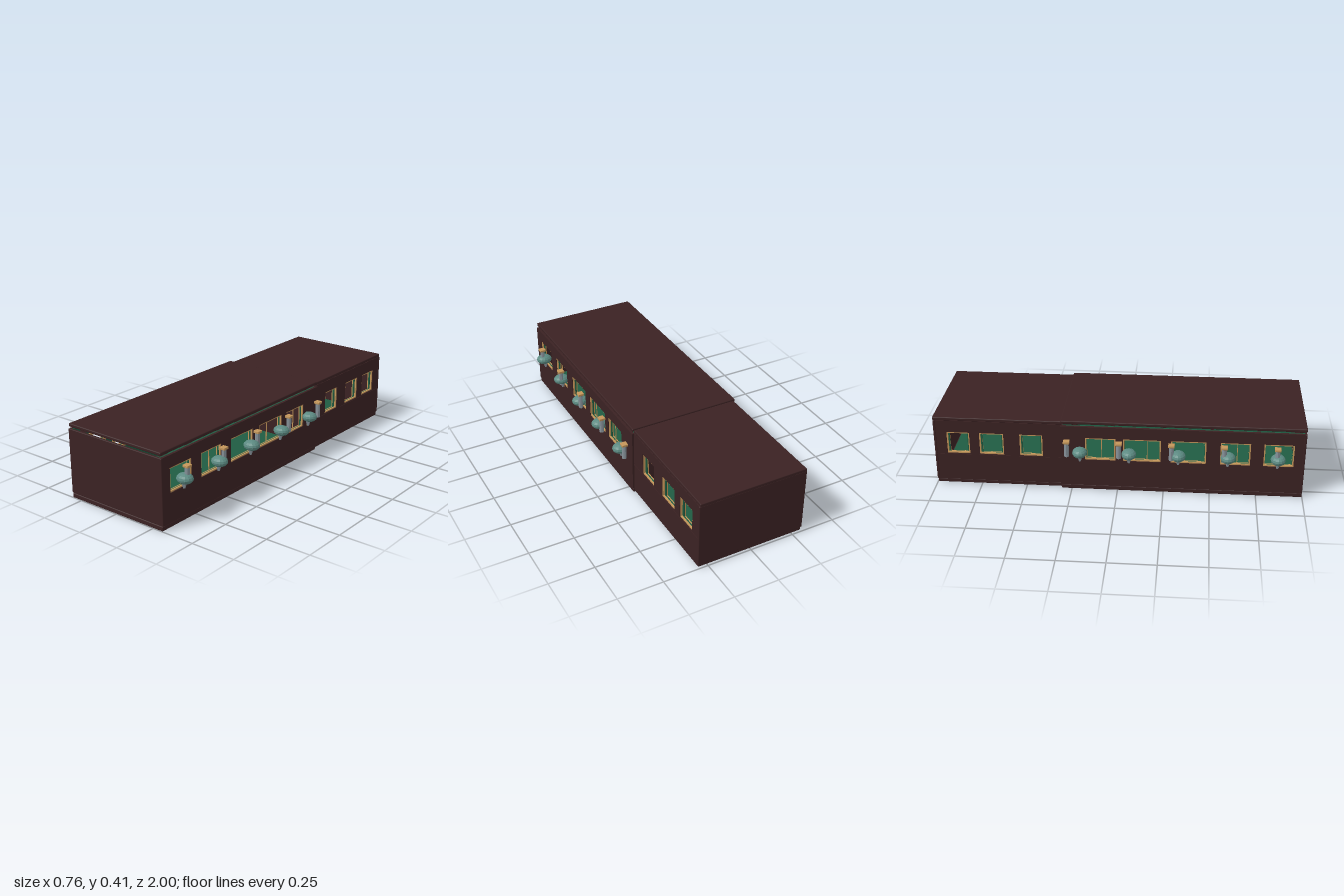
import * as THREE from 'three';
import { RoundedBoxGeometry } from 'three/addons/geometries/RoundedBoxGeometry.js';

const paint = (name, color, extra = {}) => {
  const m = new THREE.MeshStandardMaterial({ color, ...extra });
  m.name = name;
  return m;
};

export function createModel() {
  const model = new THREE.Group();
  model.name = 'longHall';
  const mahogany = paint('dark mahogany', 0x3b2223);
  const green = paint('deep green', 0x1f5c42);
  const gold = paint('brass', 0xc4965a);
  const teal = paint('verdigris', 0x5c8a82, { flatShading: true });
  const grey = paint('steel grey', 0x87929a, { flatShading: true });

  const add = (parent, name, geo, mat, x = 0, y = 0, z = 0) => {
    const m = new THREE.Mesh(geo, mat);
    m.name = name;
    m.position.set(x, y, z);
    parent.add(m);
    return m;
  };
  // box from its limits on each axis
  const block = (parent, name, mat, x0, x1, y0, y1, z0, z1, r = 0) => {
    const s = [x1 - x0, y1 - y0, z1 - z0];
    const geo = r ? new RoundedBoxGeometry(...s, 2, r) : new THREE.BoxGeometry(...s);
    return add(parent, name, geo, mat, (x0 + x1) / 2, (y0 + y1) / 2, (z0 + z1) / 2);
  };

  const rect = (Type, a, b, y0, y1) => {
    const s = new Type();
    s.moveTo(a, y0);
    s.lineTo(b, y0);
    s.lineTo(b, y1);
    s.lineTo(a, y1);
    s.closePath();
    return s;
  };
  // upright panel along z with rectangular openings, x from x0 to x0 + t
  const panel = (parent, name, mat, x0, t, z0, z1, y0, y1, holes) => {
    const shape = rect(THREE.Shape, -z1, -z0, y0, y1);
    for (const [a, b, c, d] of holes) shape.holes.push(rect(THREE.Path, -b, -a, c, d));
    const geo = new THREE.ExtrudeGeometry(shape, { depth: t, bevelEnabled: false });
    geo.rotateY(Math.PI / 2);
    return add(parent, name, geo, mat, x0);
  };

  // both long walls of a section, with lining and window frames
  const sides = (parent, half, z0, z1, y0, y1, windows, wy0, wy1, inset) => {
    const t = 0.014;
    for (const s of [1, -1]) {
      const at = (outer, depth) => (s > 0 ? outer - depth : -outer);
      panel(parent, 'sideWall', mahogany, at(half, t), t, z0, z1, y0, y1,
        windows.map(([a, b]) => [a, b, wy0, wy1]));
      panel(parent, 'innerLining', green, at(half - t, 0.008), 0.008, z0, z1, y0, y1,
        windows.map(([a, b]) => [a + inset, b - inset, wy0 + 0.004, wy1 - 0.004]));
      for (const [a, b] of windows) {
        const f = 0.007;
        panel(parent, 'windowFrame', gold, at(half - 0.004, 0.009), 0.009, a, b, wy0, wy1,
          [[a + f, b - f, wy0 + f, wy1 - f]]);
        panel(parent, 'innerFrame', gold, at(half - t - 0.008, 0.006), 0.006,
          a - 0.01, b + 0.01, wy0 - 0.008, wy1 + 0.008,
          [[a + inset, b - inset, wy0 + 0.004, wy1 - 0.004]]);
      }
    }
  };

  // main hall
  const hall = new THREE.Group();
  hall.name = 'mainHall';
  model.add(hall);
  block(hall, 'floorSlab', mahogany, -0.312, 0.312, 0, 0.026, -0.305, 0.999, 0.005);
  block(hall, 'floorCovering', green, -0.3, 0.3, 0.026, 0.03, -0.29, 0.98);
  block(hall, 'roofSlab', mahogany, -0.312, 0.312, 0.395, 0.413, -0.305, 1, 0.005);
  block(hall, 'frontWall', mahogany, -0.316, 0.316, 0.027, 0.383, 0.984, 0.999, 0.004);
  block(hall, 'dividingWall', mahogany, -0.312, 0.312, 0.027, 0.383, -0.305, -0.293);
  const hallWindows = [[0.78, 0.94], [0.55, 0.71], [0.287, 0.475], [0.03, 0.233], [-0.174, -0.01]];
  sides(hall, 0.315, -0.305, 0.99, 0.027, 0.383, hallWindows, 0.185, 0.317, 0.009);

  // thin glazing bars in the wider windows
  for (const s of [1, -1])
    for (const z of [0.64, 0.16, -0.085])
      block(hall, 'glazingBar', gold, s * 0.305 - 0.002, s * 0.305 + 0.002, 0.19, 0.312, z - 0.002, z + 0.002);

  // arched roof ribs bridging the open slot under the roof
  const rib = new THREE.Shape();
  rib.moveTo(-0.295, 0.35);
  rib.quadraticCurveTo(0, 0.41, 0.295, 0.35);
  rib.lineTo(0.295, 0.373);
  rib.quadraticCurveTo(0, 0.418, -0.295, 0.373);
  const ribGeo = new THREE.ExtrudeGeometry(rib, { depth: 0.02, bevelEnabled: false, curveSegments: 12 });
  for (const z of [0.93, 0.75, 0.5, 0.25, -0.03, -0.23]) {
    add(hall, 'roofRib', ribGeo, mahogany, 0, 0, z - 0.01);
    for (const s of [1, -1]) {
      block(hall, 'ceilingPlate', teal, s * 0.193 - 0.062, s * 0.193 + 0.062, 0.389, 0.393, z - 0.02, z + 0.02);
      block(hall, 'ceilingStud', gold, s * 0.222 - 0.006, s * 0.222 + 0.006, 0.383, 0.389, z - 0.006, z + 0.006);
      block(hall, 'roofPost', mahogany, s * 0.28 - 0.006, s * 0.28 + 0.006, 0.36, 0.396, z - 0.008, z + 0.008);
    }
  }

  // narrower rear wing
  const wing = new THREE.Group();
  wing.name = 'rearWing';
  model.add(wing);
  block(wing, 'floorSlab', mahogany, -0.303, 0.303, 0.006, 0.028, -0.993, -0.3, 0.004);
  block(wing, 'floorCovering', green, -0.29, 0.29, 0.028, 0.032, -0.98, -0.31);
  block(wing, 'roofSlab', mahogany, -0.303, 0.303, 0.386, 0.404, -1, -0.3, 0.004);
  block(wing, 'rearWall', mahogany, -0.307, 0.307, 0.028, 0.387, -0.998, -0.984, 0.004);
  const wingWindows = [[-0.53, -0.405], [-0.75, -0.617], [-0.928, -0.803]];
  sides(wing, 0.305, -0.99, -0.3, 0.028, 0.387, wingWindows, 0.19, 0.318, 0.014);
  for (const s of [1, -1])
    block(wing, 'sillMoulding', mahogany, s * 0.3055 - 0.0015, s * 0.3055 + 0.0015, 0.18, 0.186, -0.99, -0.305);

  // wall lamps: oval body, chimney with brass cap, pointed bracket below
  const bodyGeo = new THREE.SphereGeometry(1, 14, 8);
  bodyGeo.scale(0.046, 0.028, 0.04);
  const bracketGeo = new THREE.CylinderGeometry(0.015, 0.006, 0.036, 6);
  const chimneyGeo = new THREE.CylinderGeometry(0.013, 0.013, 0.085, 8);
  const spikeGeo = new THREE.ConeGeometry(0.003, 0.03, 6);
  spikeGeo.rotateX(Math.PI);
  for (const s of [1, -1])
    for (let i = 0; i < 5; i++) {
      const lamp = new THREE.Group();
      lamp.name = 'wallLamp';
      hall.add(lamp);
      const z = 0.855 - i * 0.264;
      const capZ = 0.85 - i * 0.28;
      add(lamp, 'lampBody', bodyGeo, teal, s * 0.335, 0.239, z);
      add(lamp, 'lampBracket', bracketGeo, grey, s * 0.329, 0.202, z);
      add(lamp, 'lampSpike', spikeGeo, gold, s * 0.321, 0.19, z);
      add(lamp, 'lampChimney', chimneyGeo, grey, s * 0.346, 0.262, capZ);
      block(lamp, 'chimneyCap', gold, s * 0.346 - 0.017, s * 0.346 + 0.017, 0.3, 0.313, capZ - 0.017, capZ + 0.017, 0.002);
    }
  return model;
}
